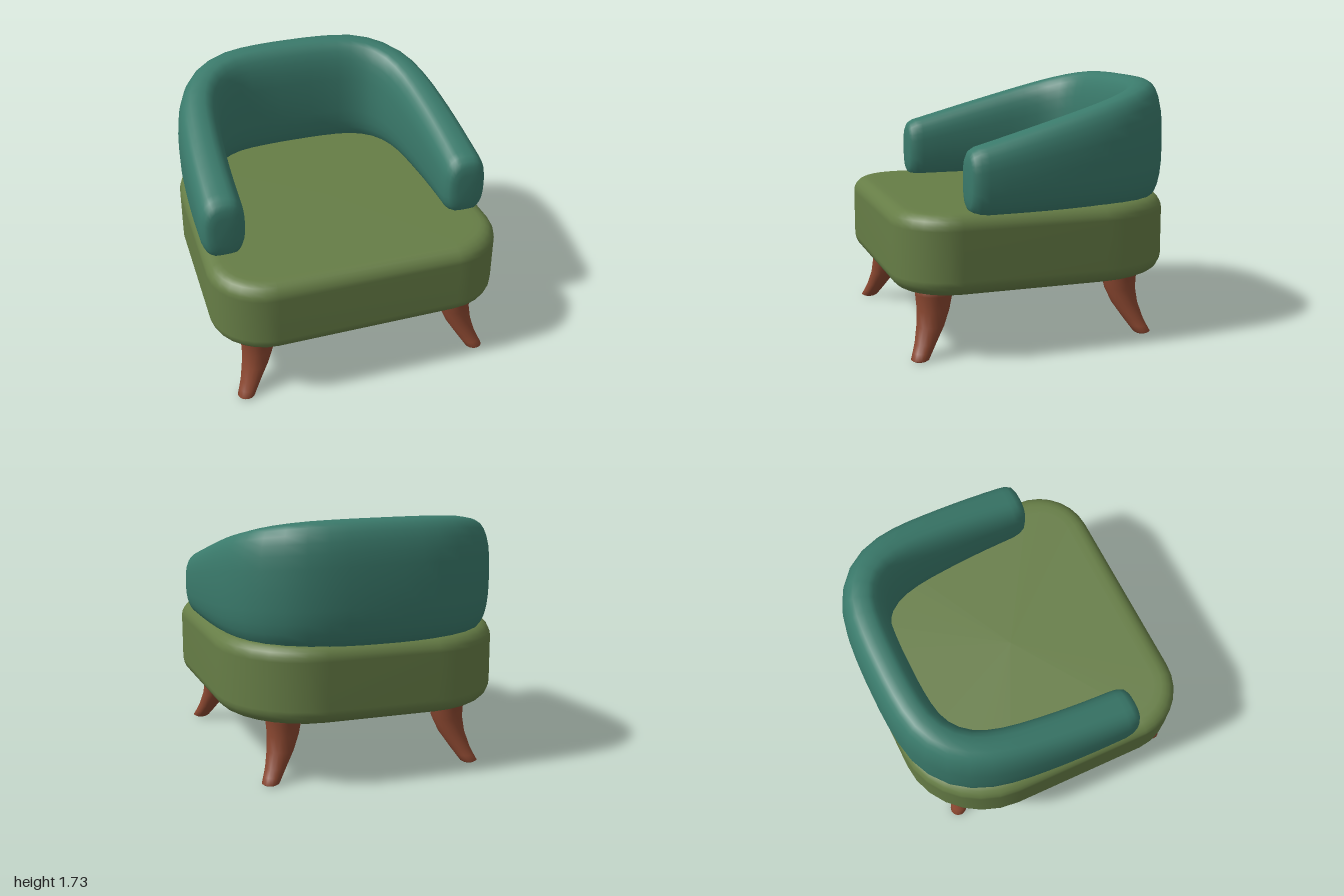
import * as THREE from 'three';

// Closed, capped skin over a list of rings; winding is fixed from the signed volume.
function loft(rings) {
  const n = rings[0].length, pts = rings.flat(), idx = [];
  for (let i = 0; i < rings.length - 1; i++) {
    for (let j = 0; j < n; j++) {
      const a = i * n + j, b = i * n + (j + 1) % n;
      idx.push(a, b, b + n, a, b + n, a + n);
    }
  }
  for (const last of [false, true]) {
    const ring = rings[last ? rings.length - 1 : 0];
    const base = last ? (rings.length - 1) * n : 0;
    const mid = ring.reduce((s, p) => s.add(p), new THREE.Vector3()).divideScalar(n);
    const c = pts.push(mid) - 1;
    for (let j = 0; j < n; j++) {
      const a = base + j, b = base + (j + 1) % n;
      if (last) idx.push(a, b, c); else idx.push(b, a, c);
    }
  }
  let volume = 0;
  for (let i = 0; i < idx.length; i += 3) {
    volume += pts[idx[i]].dot(pts[idx[i + 1]].clone().cross(pts[idx[i + 2]]));
  }
  if (volume < 0) idx.reverse();
  const geo = new THREE.BufferGeometry().setFromPoints(pts);
  geo.setIndex(idx);
  geo.computeVertexNormals();
  return geo;
}

// Cushion outline inset by d: tighter front corners, rounder and slightly narrower back.
function seatRing(d, y) {
  const ring = [], steps = 7;
  const corners = [[1, 1, 0.38], [-1, 1, 0.38], [-1, -1, 0.6], [1, -1, 0.6]];
  corners.forEach(([sx, sz, r], k) => {
    const cx = sx * (1 - r), cz = sz > 0 ? 0.99 - r : -0.96 + r;
    for (let i = 0; i <= steps; i++) {
      const a = (k + i / steps) * Math.PI / 2;
      const x = cx + Math.cos(a) * (r - d), z = cz + Math.sin(a) * (r - d);
      const t = Math.max(0, (0.4 - z) / 1.36);
      ring.push(new THREE.Vector3(x * (1 - 0.06 * t), y, z));
    }
  });
  return ring;
}

function seatGeometry() {
  const y0 = 0.43, y1 = 0.95, r = 0.1, rings = [seatRing(0.15, y0)];
  for (let i = 0; i <= 5; i++) {
    const a = i / 5 * Math.PI / 2;
    rings.push(seatRing(r * (1 - Math.sin(a)), y0 + r * (1 - Math.cos(a))));
  }
  for (let i = 5; i >= 0; i--) {
    const a = i / 5 * Math.PI / 2;
    rings.push(seatRing(r * (1 - Math.sin(a)), y1 - r * (1 - Math.cos(a))));
  }
  rings.push(seatRing(0.15, y1));
  return loft(rings);
}

// Soft-cornered upright section, its top sloping down towards the front.
function backRing(p, tangent, scale) {
  const top = 1.36 + (0.45 - Math.min(p.z, 0.45)) * 0.285, bottom = 0.9;
  const mid = (top + bottom) / 2, h = (top - bottom) / 2, w = 0.152, e = 2 / 2.7, n = 28;
  const side = new THREE.Vector3(tangent.z, 0, -tangent.x).normalize();
  const pow = v => Math.sign(v) * Math.pow(Math.abs(v), e);
  return Array.from({ length: n }, (_, i) => {
    const a = i / n * Math.PI * 2;
    const q = p.clone().addScaledVector(side, pow(Math.cos(a)) * w * scale);
    q.y = mid + pow(Math.sin(a)) * h * scale;
    return q;
  });
}

function backGeometry() {
  const half = [[0.847, 0.44], [0.842, 0.2], [0.825, -0.1], [0.79, -0.39], [0.73, -0.575],
    [0.62, -0.715], [0.46, -0.8], [0.24, -0.832]];
  const pts = [...half, [0, -0.838], ...half.slice().reverse().map(([x, z]) => [-x, z])];
  const curve = new THREE.CatmullRomCurve3(pts.map(([x, z]) => new THREE.Vector3(x, 0, z)));
  // Rounded arm ends
  const tips = [[0.02, 0.55], [0.45, 0.549], [0.7, 0.543], [0.86, 0.525], [0.96, 0.487]];
  const tip = (s, dz) => tips.map(([k, z]) =>
    backRing(new THREE.Vector3(s * 0.847, 0, z), new THREE.Vector3(0, 0, dz), k));
  const body = [];
  for (let i = 0; i <= 32; i++) {
    body.push(backRing(curve.getPointAt(i / 32), curve.getTangentAt(i / 32), 1));
  }
  return loft([...tip(1, -1), ...body, ...tip(-1, 1).reverse()]);
}

// Tapered leg curving outwards on both axes: [height, outward shift, radius]
function legGeometry(sx, sz) {
  const profile = [[0, 0.125, 0.042], [0.01, 0.124, 0.058], [0.05, 0.102, 0.063],
    [0.1, 0.076, 0.07], [0.2, 0.032, 0.09], [0.3, 0.007, 0.106], [0.4, 0, 0.121], [0.46, 0, 0.126]];
  return loft(profile.map(([y, shift, r]) => Array.from({ length: 16 }, (_, i) => {
    const a = i / 16 * Math.PI * 2;
    return new THREE.Vector3(sx * shift + Math.cos(a) * r, y, sz * shift + Math.sin(a) * r);
  })));
}

export function createModel() {
  const model = new THREE.Group();
  model.name = 'armchair';
  const material = (name, color) => {
    const m = new THREE.MeshStandardMaterial({ color });
    m.name = name;
    return m;
  };
  const green = material('olive fabric', 0x667d46);
  const teal = material('teal fabric', 0x3a7a6b);
  const wood = material('red brown wood', 0x8a4730);
  const add = (name, geo, mat, x = 0, z = 0) => {
    const mesh = new THREE.Mesh(geo, mat);
    mesh.name = name;
    mesh.position.set(x, 0, z);
    model.add(mesh);
  };

  add('seat', seatGeometry(), green);
  add('backrestWithArms', backGeometry(), teal);
  for (const [side, s] of [['Left', 1], ['Right', -1]]) {
    add('front' + side + 'Leg', legGeometry(s, 1), wood, s * 0.71, 0.735);
    add('back' + side + 'Leg', legGeometry(s, -1), wood, s * 0.58, -0.61);
  }
  return model;
}
